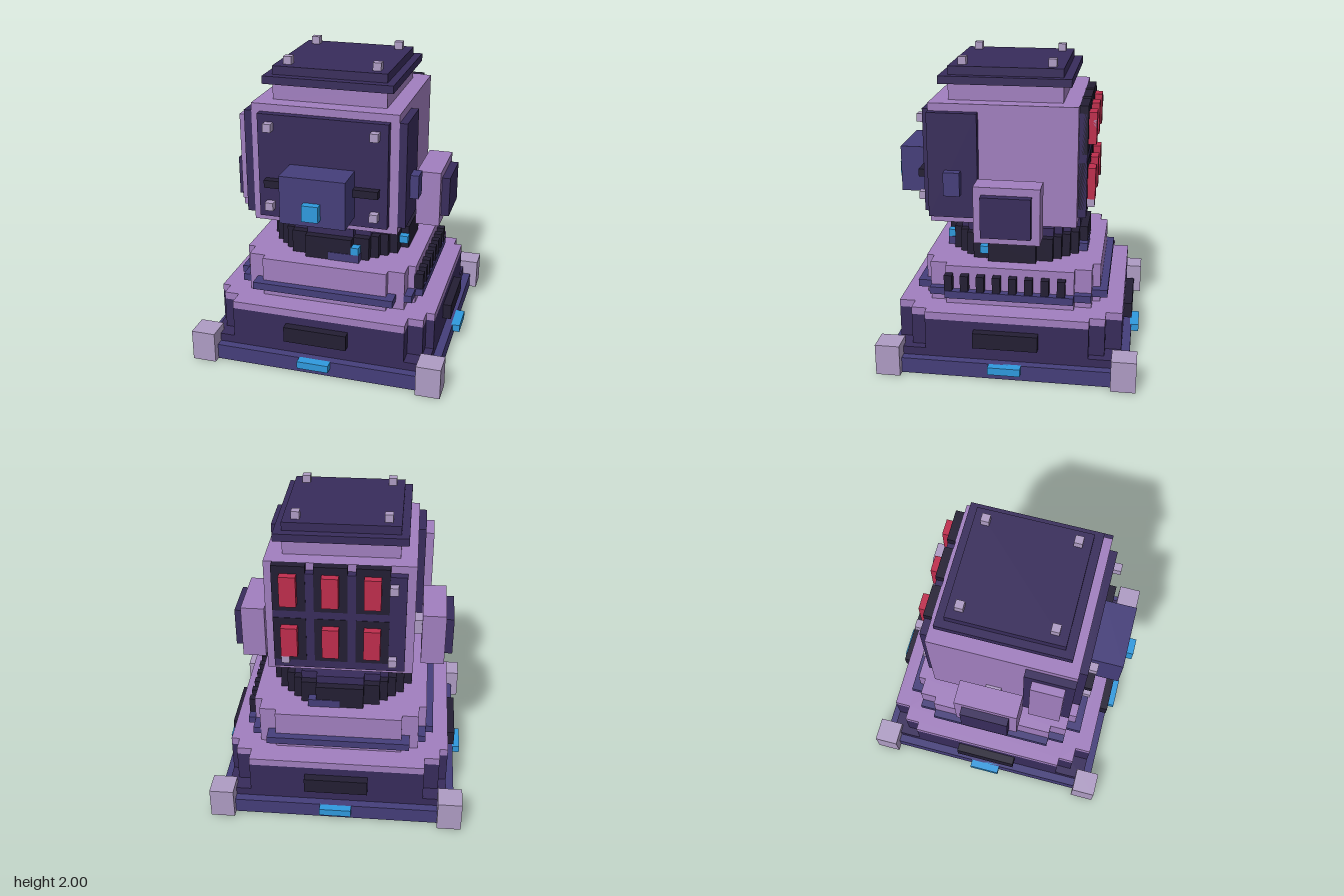
import * as THREE from 'three';

const U = 0.0525; // voxel size
const mat = (color) => new THREE.MeshStandardMaterial({ color, flatShading: true });

export function createModel() {
  const root = new THREE.Group();
  const M = {
    navy: mat(0x453e7a), dark: mat(0x382c5b), black: mat(0x231e33), lilac: mat(0xa17fbf),
    pale: mat(0xae9cc4), blue: mat(0x2f9ade), red: mat(0xbf2d4d),
  };

  // Box given by its extents along each axis
  function box(name, m, [x0, x1], [y0, y1], [z0, z1], parent = root) {
    const mesh = new THREE.Mesh(new THREE.BoxGeometry(x1 - x0, y1 - y0, z1 - z0), M[m]);
    mesh.position.set((x0 + x1) / 2, (y0 + y1) / 2, (z0 + z1) / 2);
    mesh.name = name;
    parent.add(mesh);
    return mesh;
  }
  const sym = (h) => [-h, h];
  const side = (s, a, b) => (s > 0 ? [a, b] : [-b, -a]);

  // Prism whose corners are notched in steps; steps list [halfX, halfZ] from widest x inwards
  function notched(name, m, steps, y0, y1) {
    const q = [];
    steps.forEach(([x, z], i) => {
      q.push([x, i ? steps[i - 1][1] : 0], [x, z]);
    });
    q.shift();
    const r = [...q].reverse();
    const pts = [
      ...q, ...r.map(([x, z]) => [-x, z]),
      ...q.map(([x, z]) => [-x, -z]), ...r.map(([x, z]) => [x, -z]),
    ];
    const shape = new THREE.Shape(pts.map(([x, z]) => new THREE.Vector2(x, z)));
    const geo = new THREE.ExtrudeGeometry(shape, { depth: y1 - y0, bevelEnabled: false });
    geo.rotateX(-Math.PI / 2);
    const mesh = new THREE.Mesh(geo, M[m]);
    mesh.position.y = y0;
    mesh.name = name;
    root.add(mesh);
  }

  // Stepped disc, n voxels in radius
  function disc(name, m, n, y0, y1) {
    const steps = [];
    for (let j = 0; j < n; j++) {
      const half = Math.round(Math.sqrt(n * n - (j + 0.5) ** 2));
      const last = steps[steps.length - 1];
      if (last && last[0] === half * U) last[1] = (j + 1) * U;
      else steps.push([half * U, (j + 1) * U]);
    }
    notched(name, m, steps, y0, y1);
  }

  // Base plate, feet and lower tier
  box('basePlate', 'navy', sym(0.79), [0, 0.105], sym(0.79));
  for (const sx of [-1, 1]) for (const sz of [-1, 1]) {
    box('foot', 'pale', side(sx, 0.68, 0.84), [0, 0.21], side(sz, 0.68, 0.84));
  }
  const lower = [[0.735, 0.53], [0.68, 0.63], [0.58, 0.735]];
  box('lowerSkirt', 'dark', sym(0.735), [0.105, 0.16], sym(0.735));
  notched('lowerTier', 'dark', lower, 0.16, 0.37);
  notched('lowerTierCap', 'lilac', lower, 0.37, 0.42);

  // Lights and slots on all four sides of the base
  for (let i = 0; i < 4; i++) {
    const g = new THREE.Group();
    g.name = 'baseSide';
    g.rotation.y = i * Math.PI / 2;
    box('baseLight', 'blue', sym(0.105), [0.055, 0.105], [0.78, 0.84], g);
    box('baseSlot', 'black', sym(0.21), [0.21, 0.315], [0.73, 0.79], g);
    root.add(g);
  }

  // Upper tier with its belts and side vents
  notched('upperTier', 'lilac', [[0.58, 0.42], [0.53, 0.53], [0.42, 0.58]], 0.42, 0.685);
  for (const s of [-1, 1]) {
    box('endBelt', 'navy', sym(0.475), [0.475, 0.525], side(s, 0.5, 0.63));
    box('sideBelt', 'navy', side(s, 0.5, 0.63), [0.475, 0.525], sym(0.42));
    box('sideBeltEnds', 'navy', side(s, 0.525, 0.58), [0.476, 0.524], sym(0.53));
  }
  for (let i = 0; i < 8; i++) {
    const z = 0.395 - i * 0.105;
    box('vent', 'black', [0.57, 0.63], [0.53, 0.635], [z - 0.026, z + 0.026]);
  }

  // Turret ring and neck
  disc('turretRing', 'black', 9, 0.685, 0.84);
  disc('turretCap', 'dark', 8, 0.84, 0.895);
  box('ringLight', 'blue', [0.155, 0.207], [0.74, 0.79], [0.42, 0.477]);
  box('ringLight', 'blue', [0.42, 0.477], [0.74, 0.79], [0.157, 0.21]);
  for (const s of [-1, 1]) box('ringPlate', 'navy', [0, 0.21], [0.685, 0.74], side(s, 0.42, 0.477));
  box('neck', 'navy', [-0.053, 0.105], [0.895, 0.95], sym(0.315));

  // Head
  box('head', 'lilac', sym(0.475), [0.95, 1.735], [-0.42, 0.53]);
  box('headCollar', 'lilac', sym(0.37), [1.735, 1.845], [-0.315, 0.42]);
  box('roofSlab', 'dark', sym(0.42), [1.845, 1.895], [-0.37, 0.475]);
  box('roofTop', 'dark', sym(0.37), [1.895, 1.95], [-0.315, 0.42]);

  // Face panel with visor
  box('facePanel', 'dark', sym(0.42), [1, 1.685], [0.53, 0.58]);
  box('visor', 'navy', sym(0.21), [1.06, 1.37], [0.58, 0.79]);
  box('eye', 'blue', sym(0.053), [1.11, 1.215], [0.79, 0.84]);
  box('visorBar', 'black', sym(0.37), [1.215, 1.265], [0.58, 0.63]);

  // Bolts on roof, face and back
  for (const s of [-1, 1]) {
    const bx = side(s, 0.315, 0.368);
    for (const z of [-0.265, 0.312]) box('roofBolt', 'pale', side(s, 0.262, 0.315), [1.95, 2], [z, z + 0.053]);
    for (const y of [1.058, 1.583]) {
      box('faceBolt', 'pale', bx, [y, y + 0.053], [0.58, 0.63]);
      box('backBolt', 'pale', bx, [y, y + 0.053], [-0.523, -0.475]);
    }
  }

  // Side panels and arms
  for (const s of [-1, 1]) {
    box('sidePanel', 'dark', side(s, 0.475, 0.525), [1, 1.685], [0.21, 0.53]);
    box('armPin', 'pale', side(s, 0.47, 0.6), [1.03, 1.135], sym(0.053));
    box('arm', 'lilac', side(s, 0.525, 0.682), [0.895, 1.265], sym(0.21));
    box('armCap', 'dark', side(s, 0.682, 0.735), [0.95, 1.215], sym(0.158));
  }
  box('sideButton', 'navy', [0.525, 0.58], [1.16, 1.315], [0.315, 0.42]);
  box('sidePlate', 'lilac', [-0.58, -0.525], [1.06, 1.635], [0.262, 0.472]);

  // Back panel with red cells in black recesses
  box('backPanel', 'dark', sym(0.42), [1, 1.685], [-0.473, -0.42]);
  for (const x of [-0.21, 0.053, 0.315]) {
    box('cellFrame', 'black', [x - 0.105, x + 0.105], [1.42, 1.735], [-0.476, -0.42]);
    box('cellFrame', 'black', [x - 0.105, x + 0.105], [1.055, 1.368], [-0.476, -0.42]);
    for (const y of [1.11, 1.475]) {
      box('cell', 'red', [x - 0.053, x + 0.053], [y, y + 0.208], [-0.526, -0.476]);
    }
  }
  return root;
}
